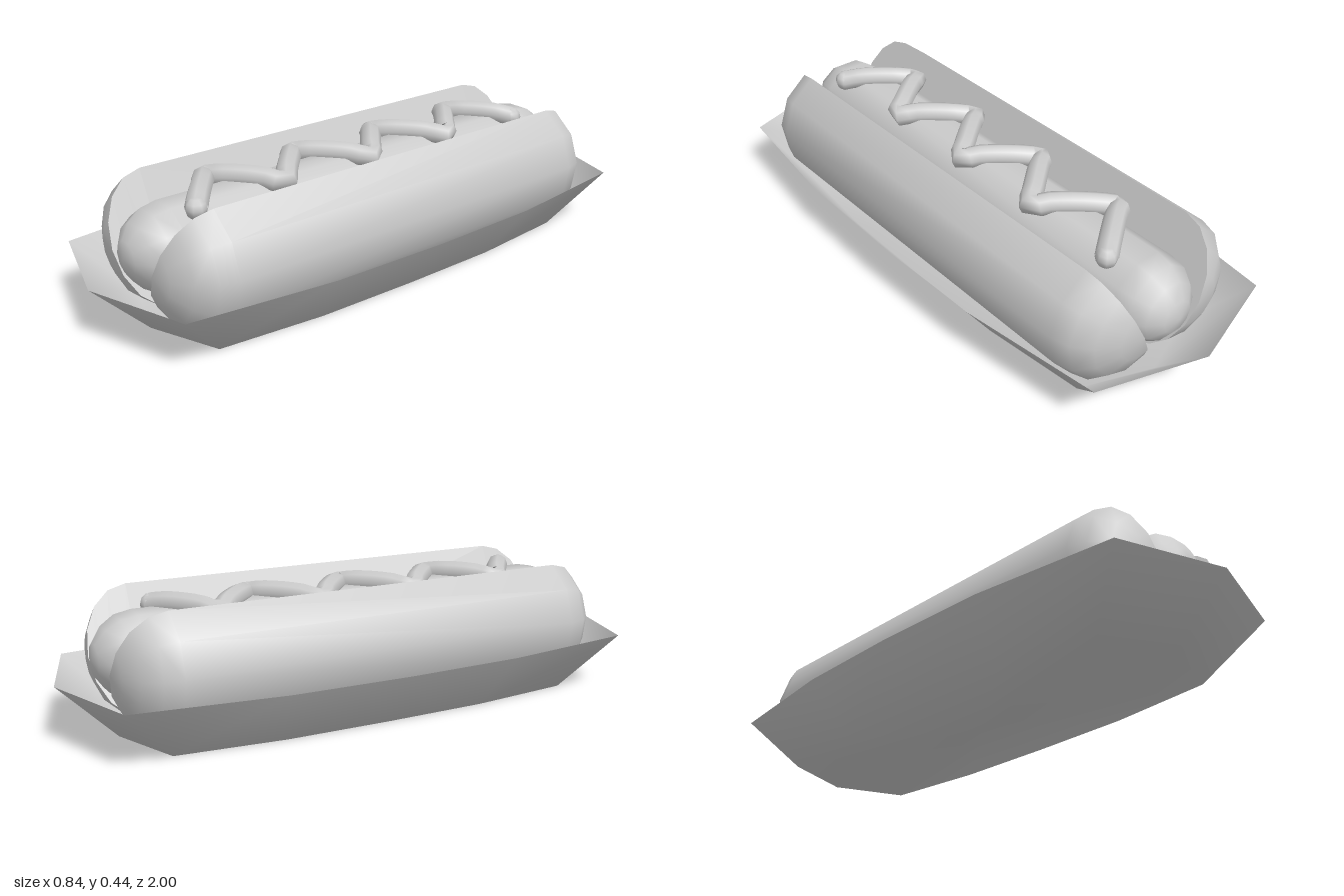
import * as THREE from 'three';
import { toCreasedNormals } from 'three/addons/utils/BufferGeometryUtils.js';

const grey = new THREE.MeshStandardMaterial({ color: 0xcccccc });
const thin = new THREE.MeshStandardMaterial({ color: 0xcccccc, side: THREE.DoubleSide });

// Skin closed rings of equal length; startTip / endTip are optional closing points.
function loft(rings, startTip, endTip) {
  const n = rings[0].length;
  const pos = rings.flat(2);
  const index = [];
  for (let i = 0; i < rings.length - 1; i++) {
    for (let j = 0; j < n; j++) {
      const a = i * n + j, b = i * n + (j + 1) % n;
      index.push(a, b, b + n, a, b + n, a + n);
    }
  }
  const cap = (tip, base, flip) => {
    const t = pos.length / 3;
    pos.push(...tip);
    for (let j = 0; j < n; j++) {
      const a = base + j, b = base + (j + 1) % n;
      index.push(t, flip ? b : a, flip ? a : b);
    }
  };
  if (startTip) cap(startTip, 0, true);
  if (endTip) cap(endTip, (rings.length - 1) * n, false);
  const geo = new THREE.BufferGeometry();
  geo.setAttribute('position', new THREE.Float32BufferAttribute(pos, 3));
  geo.setIndex(index);
  geo.computeVertexNormals();
  return geo;
}

// Section swept along z with a rounded dome at each end.
function capsule(section, cx, cy, straight, dome, steps) {
  const stations = [];
  for (let k = steps - 1; k >= 0; k--) stations.push([-1, k / steps]);
  for (let k = 0; k < steps; k++) stations.push([1, k / steps]);
  const rings = stations.map(([side, t]) => {
    const a = t * Math.PI / 2;
    const s = Math.cos(a), z = side * (straight + dome * Math.sin(a));
    return section.map(([x, y]) => [cx + x * s, cy + y * s, z]);
  });
  const tip = straight + dome;
  return loft(rings, [cx, cy, -tip], [cx, cy, tip]);
}

function arc(radius, startDeg, stepDeg, count) {
  return Array.from({ length: count }, (_, i) => {
    const a = THREE.MathUtils.degToRad(startDeg + i * stepDeg);
    return [radius * Math.cos(a), radius * Math.sin(a)];
  });
}

// Twelve-sided tray outline mirrored from one quarter, side middle to end point.
function trayRing(y, quarter) {
  const [side, mid, corner, end] = quarter;
  const half = [side, mid, corner, end, [-corner[0], corner[1]], [-mid[0], mid[1]]];
  return [...half.map(([x, z]) => [x, y, -z]), ...half.map(([x, z]) => [-x, y, z])];
}

export function createModel() {
  const model = new THREE.Group();
  const add = (name, geo, mat = grey) => {
    const mesh = new THREE.Mesh(geo, mat);
    mesh.name = name;
    model.add(mesh);
    return mesh;
  };

  // Open paper tray with flared walls
  add('tray', loft([
    trayRing(0, [[0.28, 0], [0.275, 0.36], [0.24, 0.72], [0, 0.81]]),
    trayRing(0.19, [[0.42, 0], [0.41, 0.41], [0.35, 0.89], [0, 1]]),
  ], [0, 0, 0]), thin);

  // Two bun halves, each a half-round loaf with a flat cut face
  const bun = toCreasedNormals(capsule(arc(0.22, 115, 30, 7), -0.11, 0.235, 0.7, 0.16, 4), 1);
  add('rightBunHalf', bun);
  const left = add('leftBunHalf', bun);
  left.scale.x = -1;
  left.position.x = 0.013;

  // Sausage
  add('sausage', capsule(arc(0.143, 0, 36, 10), 0.003, 0.254, 0.74, 0.145, 4));

  // Zigzag line of sauce
  const turns = [-0.66, -0.51, -0.33, -0.16, 0.01, 0.18, 0.36, 0.52, 0.68];
  const points = [];
  turns.forEach((z, i) => {
    const x = i % 2 ? -0.115 : 0.088;
    points.push(new THREE.Vector3(x, 0.389, z));
    if (i === turns.length - 1) return;
    for (const t of [0.25, 0.75]) {
      points.push(new THREE.Vector3(
        THREE.MathUtils.lerp(x, -0.027 - x, t), 0.4, THREE.MathUtils.lerp(z, turns[i + 1], t)));
    }
  });
  const path = new THREE.CatmullRomCurve3(points);
  add('sauce', new THREE.TubeGeometry(path, 64, 0.036, 8));

  // Closed ends of the sauce line
  for (const t of [0, 1]) {
    const end = add('sauceEnd', new THREE.SphereGeometry(0.036, 8, 6));
    end.position.copy(path.getPoint(t));
    end.scale.setScalar(0.98);
  }
  return model;
}
